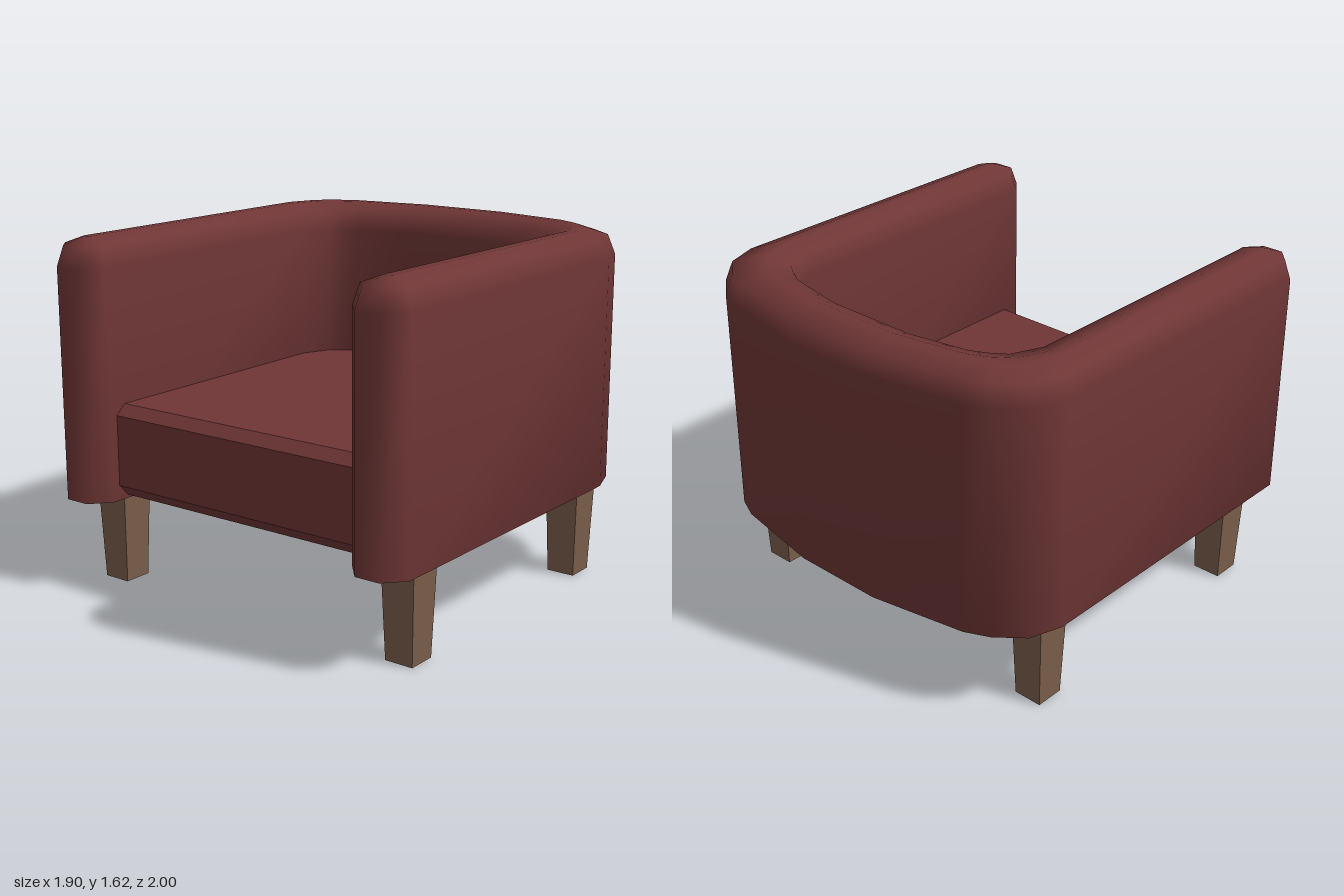
import * as THREE from 'three';

const upholstery = new THREE.MeshStandardMaterial({ color: 0x703636 });
upholstery.name = 'red upholstery';
const wood = new THREE.MeshStandardMaterial({ color: 0x7a5e4b });
wood.name = 'brown wood';
wood.flatShading = true;

// Wall stations from arm front to middle of back: outer x, z, inner x, z
const HALF = [
  [0.87, 1.0, 0.75, 1.0],
  [0.95, 0.91, 0.67, 0.91],
  [0.95, -0.62, 0.67, -0.45],
  [0.90, -0.77, 0.61, -0.59],
  [0.78, -0.87, 0.55, -0.63],
  [0.67, -0.92, 0.48, -0.665],
  [0.22, -1.0, 0.22, -0.715],
];

// Heights of the wall's contours and how far each shrinks to the centre line
const LAYERS = [[0.43, 0], [1.49, 0], [1.58, 0.21], [1.615, 0.85]];

// One continuous U-shaped wall forming both arms and the back
function makeShell() {
  const half = HALF.map(([ox, oz, ix, iz]) => ({
    outer: [ox, oz], inner: [ix, iz],
    mid: [(ox + ix) / 2, Math.min((oz + iz) / 2, 0.86)],
  }));
  const flip = ([x, z]) => [-x, z];
  const stations = [
    ...half,
    ...half.map(s => ({ outer: flip(s.outer), inner: flip(s.inner), mid: flip(s.mid) })).reverse(),
  ];
  const ring = [
    ...stations.map(s => ({ p: s.outer, c: s.mid })),
    ...stations.map(s => ({ p: s.inner, c: s.mid })).reverse(),
  ];
  const n = ring.length;
  const positions = [];
  const index = [];
  const quad = (a, b, c, d) => index.push(a, b, c, a, c, d);

  for (const [y, f] of LAYERS) {
    for (const { p, c } of ring) {
      positions.push(p[0] + (c[0] - p[0]) * f, y, p[1] + (c[1] - p[1]) * f);
    }
  }
  // Sides
  for (let l = 0; l < LAYERS.length - 1; l++) {
    for (let i = 0; i < n; i++) {
      const j = (i + 1) % n;
      quad(l * n + i, l * n + j, (l + 1) * n + j, (l + 1) * n + i);
    }
  }
  // Top and underside
  const top = (LAYERS.length - 1) * n;
  for (let i = 0; i < stations.length - 1; i++) {
    const innerA = n - 1 - i, innerB = n - 2 - i;
    quad(top + i, top + i + 1, top + innerB, top + innerA);
    quad(innerA, innerB, i + 1, i);
  }
  const geometry = new THREE.BufferGeometry();
  geometry.setAttribute('position', new THREE.Float32BufferAttribute(positions, 3));
  geometry.setIndex(index);
  geometry.computeVertexNormals();
  return geometry;
}

// Seat cushion: side profile with a chamfered front, extruded across the width
function makeSeat() {
  const profile = [[0.75, 0.445], [-0.82, 0.445], [-0.87, 0.50], [-0.87, 0.825], [-0.82, 0.87], [0.75, 0.87]];
  const shape = new THREE.Shape(profile.map(([x, y]) => new THREE.Vector2(x, y)));
  const width = 1.36;
  const geometry = new THREE.ExtrudeGeometry(shape, { depth: width, bevelEnabled: false });
  geometry.translate(0, 0, -width / 2);
  geometry.rotateY(Math.PI / 2);
  return geometry;
}

// Square leg tapering towards the floor
function makeLeg() {
  const height = 0.44;
  const geometry = new THREE.CylinderGeometry(0.165 / Math.SQRT2, 0.135 / Math.SQRT2, height, 4);
  geometry.rotateY(Math.PI / 4);
  geometry.translate(0, height / 2, 0);
  return geometry;
}

export function createModel() {
  const model = new THREE.Group();
  model.name = 'armchair';
  const add = (name, geometry, material) => {
    const mesh = new THREE.Mesh(geometry, material);
    mesh.name = name;
    model.add(mesh);
    return mesh;
  };

  add('armsAndBack', makeShell(), upholstery);
  add('seat', makeSeat(), upholstery);

  const leg = makeLeg();
  for (const [side, x] of [['Left', 0.81], ['Right', -0.8]]) {
    for (const [end, z] of [['front', 0.715], ['back', -0.592]]) {
      add(`${end}${side}Leg`, leg, wood).position.set(x, 0, z);
    }
  }
  return model;
}
